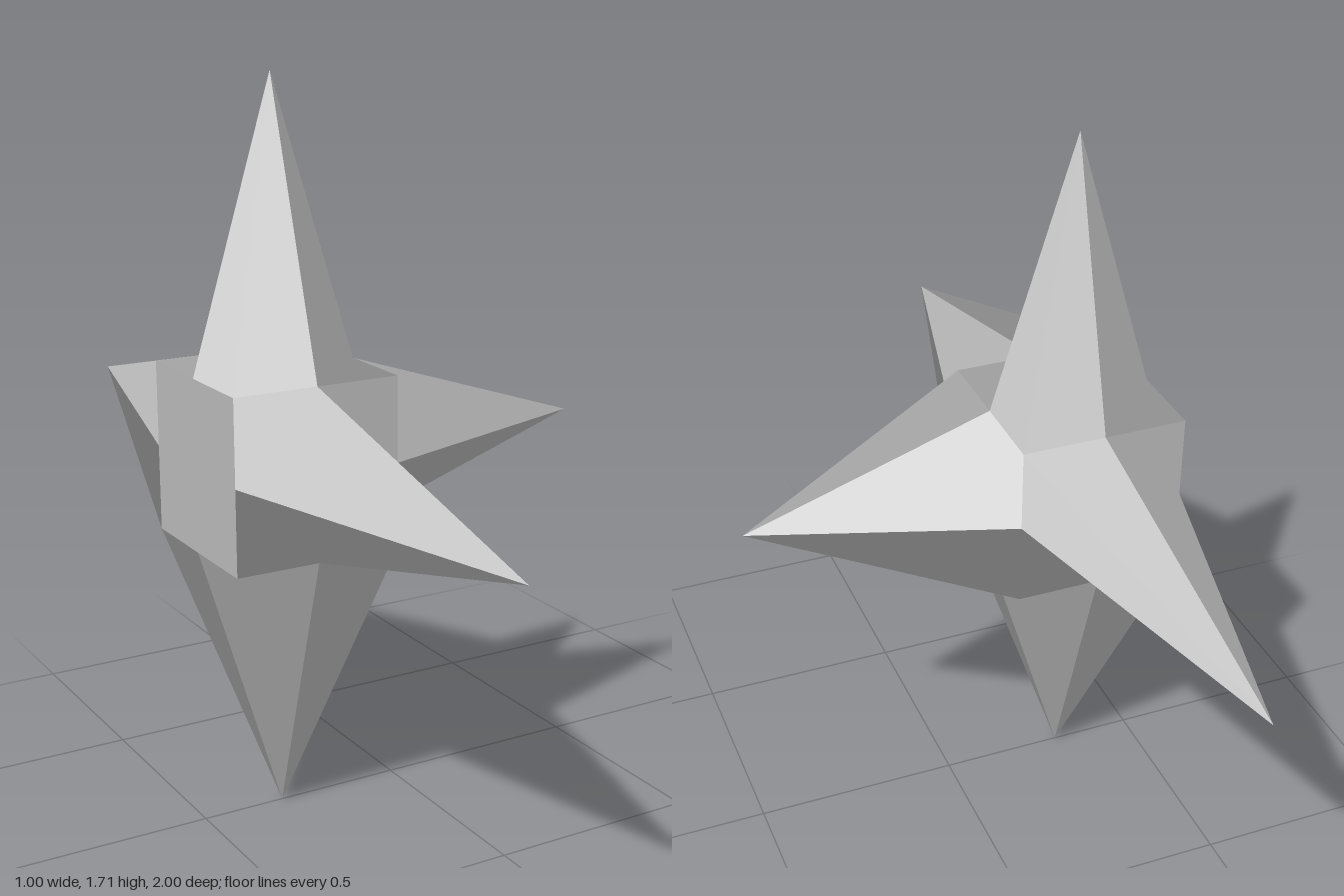
import * as THREE from 'three';

const HALF = 0.2; // half width of the cubic core

// One spike: a cube face split into four quads whose shared centre is pulled outward.
// u x v points outward; fold chooses which opposite pair of quads folds from tip to corner.
function spikeGeometry(u, v, length, fold) {
  const U = new THREE.Vector3(...u), V = new THREE.Vector3(...v);
  const N = U.clone().cross(V);
  const point = (a, b, h) => new THREE.Vector3()
    .addScaledVector(U, a * HALF).addScaledVector(V, b * HALF).addScaledVector(N, h);
  const positions = [], normals = [];
  for (const su of [-1, 1]) {
    for (const sv of [-1, 1]) {
      const quad = [point(0, 0, length), point(su, 0, HALF), point(su, sv, HALF), point(0, sv, HALF)];
      if (su * sv < 0) quad.reverse();
      const [a, b, c, d] = quad;
      // one shared normal keeps each folded quad evenly shaded
      const normal = c.clone().sub(a).cross(d.clone().sub(b)).normalize();
      const tipFirst = su * sv > 0;
      const tipFold = su * sv === fold;
      // tip is a when not reversed, d when reversed
      const splitAC = tipFirst === tipFold;
      const corners = splitAC ? [a, b, c, a, c, d] : [a, b, d, b, c, d];
      for (const p of corners) {
        positions.push(p.x, p.y, p.z);
        normals.push(normal.x, normal.y, normal.z);
      }
    }
  }
  const geometry = new THREE.BufferGeometry();
  geometry.setAttribute('position', new THREE.Float32BufferAttribute(positions, 3));
  geometry.setAttribute('normal', new THREE.Float32BufferAttribute(normals, 3));
  return geometry;
}

export function createModel() {
  const grey = new THREE.MeshStandardMaterial({ color: 0xb8b8b8 });
  grey.name = 'grey';

  const star = new THREE.Group();
  star.name = 'star';
  star.position.set(-0.3, 0.855, 0);

  const X = [1, 0, 0], Y = [0, 1, 0], Z = [0, 0, 1];
  const spikes = [
    ['frontSpike', X, Y, 1, -1],
    ['backSpike', Y, X, 1, 1],
    ['sideSpike', Y, Z, 0.8, 1],
    ['topSpike', Z, X, 0.855, -1],
    ['bottomSpike', X, Z, 0.855, 1],
  ];
  for (const [name, u, v, length, fold] of spikes) {
    const spike = new THREE.Mesh(spikeGeometry(u, v, length, fold), grey);
    spike.name = name;
    star.add(spike);
  }

  // flat square closing the side without a spike
  const flatSide = new THREE.Mesh(new THREE.PlaneGeometry(HALF * 2, HALF * 2), grey);
  flatSide.name = 'flatSide';
  flatSide.rotation.y = -Math.PI / 2;
  flatSide.position.x = -HALF;
  star.add(flatSide);

  const model = new THREE.Group();
  model.name = 'spikedStar';
  model.add(star);
  return model;
}
